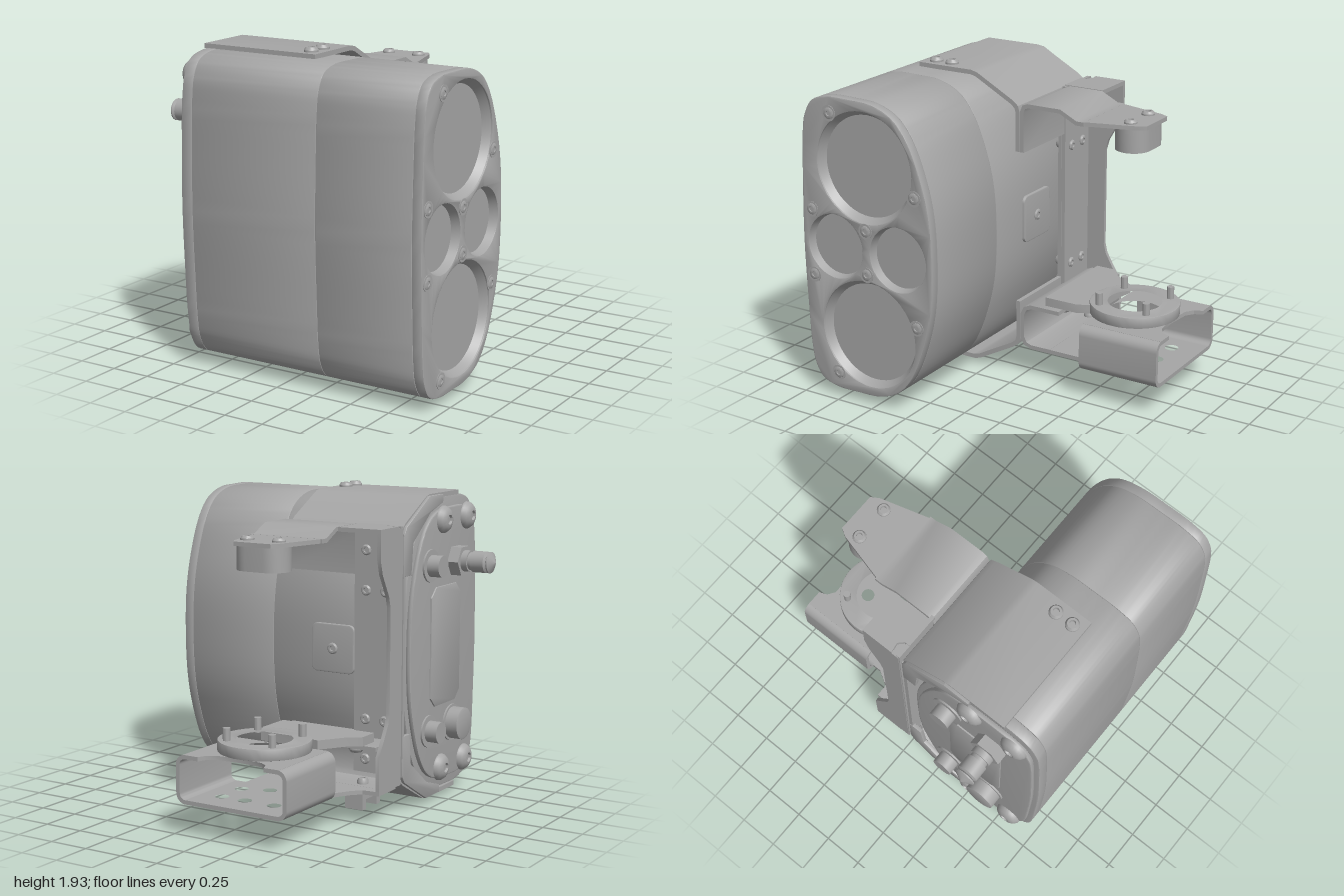
import * as THREE from 'three';
import { toCreasedNormals } from 'three/addons/utils/BufferGeometryUtils.js';

const MID = 0.97; // height of the housing's mirror plane

export function createModel() {
  const model = new THREE.Group();
  const metal = new THREE.MeshStandardMaterial({ color: 0xa6a6a6 });
  metal.name = 'greyMetal';

  const add = (name, geo) => {
    const mesh = new THREE.Mesh(toCreasedNormals(geo, 0.55), metal);
    mesh.name = name;
    model.add(mesh);
    return mesh;
  };
  // Plane coordinates per extrusion axis: x -> (z, y), y -> (x, z), z -> (x, y)
  const map = { x: (u, v) => [-u, v], y: (u, v) => [u, -v], z: (u, v) => [u, v] };
  const plate = (name, axis, pts, a, b, { holes = [], bevel = 0 } = {}) => {
    const shape = new THREE.Shape(pts.map(([u, v]) => new THREE.Vector2(...map[axis](u, v))));
    for (const [u, v, r] of holes) {
      shape.holes.push(new THREE.Path().absarc(...map[axis](u, v), r, 0, Math.PI * 2, true));
    }
    const geo = new THREE.ExtrudeGeometry(shape, {
      depth: b - a - 2 * bevel, bevelEnabled: bevel > 0, bevelThickness: bevel,
      bevelSize: bevel, bevelOffset: -bevel, bevelSegments: 2, curveSegments: 24,
    });
    geo.translate(0, 0, a + bevel);
    if (axis === 'x') geo.rotateY(Math.PI / 2);
    if (axis === 'y') geo.rotateX(-Math.PI / 2);
    return add(name, geo);
  };
  // Sheet metal outline: a path thickened to both sides
  const ribbon = (path, t) => {
    const sides = [[], []];
    path.forEach((p, i) => {
      const dir = (a, b) => new THREE.Vector2(b[0] - a[0], b[1] - a[1]).normalize();
      const d0 = dir(path[Math.max(i - 1, 0)], path[Math.max(i, 1)]);
      const d1 = i < path.length - 1 ? dir(p, path[i + 1]) : d0;
      const m = d0.clone().add(d1).normalize();
      const k = t / 2 / Math.max(m.dot(d0), 0.5);
      sides[0].push([p[0] - m.y * k, p[1] + m.x * k]);
      sides[1].unshift([p[0] + m.y * k, p[1] - m.x * k]);
    });
    return [...sides[0], ...sides[1]];
  };
  const arc = (cx, cy, r, from, to, n = 8) => Array.from({ length: n + 1 }, (_, i) => {
    const a = from + ((to - from) * i) / n;
    return [cx + r * Math.cos(a), cy + r * Math.sin(a)];
  });
  const turned = (name, pts, pos, dir, sides = 28) => {
    const geo = new THREE.LatheGeometry(pts.map((p) => new THREE.Vector2(...p)), sides);
    const mesh = add(name, geo);
    mesh.position.set(...pos);
    mesh.quaternion.setFromUnitVectors(new THREE.Vector3(0, 1, 0), new THREE.Vector3(...dir));
    return mesh;
  };
  const rod = (name, r, h, pos, dir) => turned(name, [[0, 0], [r, 0], [r, h], [0, h]], pos, dir);
  const screw = (name, r, h, pos, dir) => turned(name,
    [[r, 0], [r, h * 0.45], [r * 0.75, h], [r * 0.45, h], [r * 0.42, h * 0.3], [0, h * 0.3]], pos, dir, 20);
  const flip = (pts) => pts.map(([u, v]) => [u, 2 * MID - v]);

  // Housing: one rounded cross-section in four lengths with fine seams
  const half = [[0.09, 1.25], [0.14, 1.47], [0.23, 1.69], [0.33, 1.81], [0.47, 1.87], [0.62, 1.88],
    [0.8, 1.877], [0.9, 1.84], [0.955, 1.75], [0.975, 1.64], [0.99, 1.35]];
  const loop = [[0.075, MID], ...half, [1, MID], ...flip(half).reverse()];
  const outline = new THREE.CatmullRomCurve3(loop.map(([u, v]) => new THREE.Vector3(u, v, 0)), true)
    .getPoints(112).slice(0, -1).map((p) => [p.x, p.y]);
  const scaled = (s) => outline.map(([u, v]) => [0.54 + (u - 0.54) * s, MID + (v - MID) * s]);
  [[-0.65, -0.58], [-0.58, 0.27], [0.27, 0.888]].forEach(([a, b], i) =>
    plate('housingSection' + (i + 1), 'x', outline, a, b, { bevel: 0.006 }));

  // Face with four lens wells
  const lenses = [[0.54, 1.485, 0.335], [0.54, 0.455, 0.335], [0.765, MID, 0.198], [0.315, MID, 0.198]];
  plate('lensFace', 'x', outline, 0.888, 0.95, { holes: lenses, bevel: 0.007 });
  for (const [z, y, r] of lenses) {
    const inner = r > 0.3 ? 0.305 : 0.187;
    turned('lensWell', [[r, 0.052], [inner, 0.008], [0, 0.008]], [0.888, y, z], [1, 0, 0], 48);
  }
  for (const [z, y] of [[0.775, 1.78], [0.19, 1.365], [0.93, 1.175], [0.54, 1.105]]) {
    for (const [, yy] of [[z, y], ...flip([[z, y]])]) {
      turned('faceScrewCollar', [[0.048, 0], [0.048, 0.004], [0.036, 0.004]], [0.949, yy, z], [1, 0, 0]);
      screw('faceScrew', 0.034, 0.008, [0.949, yy, z], [1, 0, 0]);
    }
  }

  // Connector end: cover, raised panel, domes and plugs
  plate('endCover', 'x', scaled(0.93), -0.68, -0.65, { bevel: 0.008 });
  plate('endPanel', 'x', [[0.36, 0.66], [0.36, 1.28], [0.42, 1.34], [0.68, 1.34], [0.74, 1.28],
    [0.74, 0.66], [0.68, 0.6], [0.42, 0.6]], -0.69, -0.67, { bevel: 0.006 });
  const OUT = [-1, 0, 0];
  for (const y of [0.2, 1.745]) {
    for (const z of [0.51, 0.82]) {
      turned('endDome', [[0.085, 0], [0.083, 0.015], [0.068, 0.035], [0.045, 0.048], [0.03, 0.05],
        [0.026, 0.035], [0, 0.035]], [-0.676, y, z], OUT);
    }
  }
  for (const y of [0.46, 1.48]) {
    turned('portCollar', [[0.1, 0], [0.1, 0.012], [0.065, 0.012]], [-0.679, y, 0.35], OUT);
    rod('smallPort', 0.066, 0.09, [-0.679, y, 0.35], OUT);
  }
  turned('largePort', [[0.115, 0], [0.115, 0.015], [0.1, 0.015], [0.1, 0.095], [0.085, 0.1], [0, 0.1]],
    [-0.676, 0.46, 0.65], OUT);
  turned('plugNut', [[0.1, 0], [0.1, 0.075], [0, 0.075]], [-0.676, 1.48, 0.67], OUT, 6);
  turned('plug', [[0.066, 0], [0.066, 0.05], [0.055, 0.05], [0.055, 0.075], [0.066, 0.075], [0.066, 0.17],
    [0.05, 0.18], [0.066, 0.19], [0.066, 0.198], [0, 0.235]].map(([r, h]) => [r, h * 0.92]),
  [-0.745, 1.48, 0.67], OUT);

  // Straps over and under the housing, with end flanges and screws
  const strap = ribbon([[0.735, 1.895], [0.36, 1.895], [0.32, 1.885], [0.07, 1.75], [0.04, 1.725],
    [0.03, 1.69], [0.03, 1.45]], 0.028);
  const flange = [[0.5, 1.9], [0.33, 1.9], [0.05, 1.74], [0.02, 1.69], [0.02, 1.45], [0.11, 1.45],
    [0.13, 1.64], [0.34, 1.8], [0.5, 1.85]];
  for (const [side, f, s] of [['top', (p) => p, 1], ['bottom', flip, -1]]) {
    plate(side + 'Strap', 'x', f(strap), -0.665, 0.105);
    plate(side + 'StrapFlange', 'x', f(flange), -0.684, -0.655, { bevel: 0.005 });
    for (const z of [0.545, 0.66]) {
      screw(side + 'StrapScrew', 0.042, 0.03, [0.03, MID + s * 0.936, z], [0, s, 0]);
    }
  }
  plate('strapBackPlate', 'z', [[-0.68, 0.24], [-0.39, 0.24], [-0.39, 1.7], [-0.68, 1.7]], 0.02, 0.044);

  // Pad on the back of the housing
  plate('backPad', 'z', [...arc(-0.06, 1.08, 0.04, 0, Math.PI / 2), ...arc(-0.28, 1.08, 0.04, Math.PI / 2, Math.PI),
    ...arc(-0.28, 0.86, 0.04, Math.PI, Math.PI * 1.5), ...arc(-0.06, 0.86, 0.04, Math.PI * 1.5, Math.PI * 2)],
  0.06, 0.11, { bevel: 0.005 });
  screw('backPadScrew', 0.035, 0.012, [-0.17, MID, 0.062], [0, 0, -1]);

  // Upright spine with a waisted side flange
  plate('spineBack', 'z', [[-0.68, 0.2], [-0.37, 0.2], [-0.37, 1.75], [-0.68, 1.75]], -0.018, 0.006);
  plate('spineFlange', 'x', [[0, 0.2], [-0.26, 0.2], [-0.26, 0.42], [-0.2, 0.52], [-0.155, 0.6], [-0.14, 0.66],
    [-0.14, 1.29], [-0.16, 1.36], [-0.235, 1.49], [-0.26, 1.58], [-0.26, 1.74], [0, 1.74]], -0.684, -0.66);
  plate('spineTop', 'y', [[-0.684, -0.05], [-0.684, -0.26], [-0.4, -0.26], [-0.4, 0.006], [-0.59, 0.006],
    [-0.59, -0.03], [-0.62, -0.06]], 1.728, 1.754);
  for (const y of [1.6, 1.36, 0.58, 0.335]) {
    for (const x of [-0.58, -0.45]) {
      screw('spineScrew', 0.038, 0.035, [x, y, 0.044], [0, 0, 1]);
      screw('spineNut', 0.032, 0.014, [x, y, -0.017], [0, 0, -1]);
    }
  }

  // Upper arm: stepped sheet, tapered tongue and end block
  plate('upperArm', 'x', ribbon([[0, 1.45], [0, 1.7], [-0.012, 1.73], [-0.04, 1.741], [-0.26, 1.741],
    [-0.37, 1.686], [-0.42, 1.686]], 0.025), -0.39, 0.105);
  plate('upperArmTongue', 'y', [[-0.39, -0.38], [-0.3, -0.72], [-0.27, -0.775], [-0.21, -0.805], [-0.145, -0.812],
    [-0.08, -0.805], [-0.02, -0.775], [0.01, -0.72], [0.105, -0.38]].map(([x, z]) => [x, Math.max(z, -0.77)]),
  1.673, 1.698);
  plate('upperBlock', 'y', [...arc(-0.085, -0.648, 0.107, -Math.PI / 2, Math.PI / 2, 14),
    ...arc(-0.205, -0.648, 0.107, Math.PI / 2, Math.PI * 1.5, 14)], 1.53, 1.674,
  { holes: [[-0.25, -0.655, 0.035], [-0.035, -0.655, 0.035]] });
  for (const x of [-0.25, -0.035]) screw('upperArmScrew', 0.04, 0.025, [x, 1.696, -0.655], [0, 1, 0]);

  // Lower bracket: folded sheet, floor and open-ended channel
  plate('lowerFold', 'x', ribbon([[-0.26, 0.467], [-0.06, 0.467], [-0.02, 0.45], [0, 0.41], [0, 0.26],
    [-0.02, 0.218], [-0.06, 0.203], [-0.2, 0.203]], 0.025), -0.66, 0.105);
  const floorHoles = [[-0.32, -0.62], [-0.32, -0.82], [-0.12, -0.56], [0.04, -0.62], [0.04, -0.82], [-0.12, -0.82]];
  plate('lowerFloor', 'y', [[-0.684, -0.06], [-0.684, -0.26], [-0.58, -0.27], [-0.53, -0.32], [-0.47, -0.42],
    [-0.47, -1], [0.185, -1], [0.185, -0.48], [0.105, -0.48], [0.105, -0.06]], 0.19, 0.215,
  { holes: floorHoles.map(([x, z]) => [x, z, 0.042]) });
  plate('channelTop', 'y', [[-0.47, -0.48], [-0.47, -1], [-0.37, -1], [-0.35, -0.95], [-0.3, -0.915],
    [-0.145, -0.9], [0.01, -0.915], [0.06, -0.95], [0.08, -1], [0.185, -1], [0.185, -0.48]], 0.457, 0.482,
  { holes: [[-0.145, -0.65, 0.17]] });
  const wall = ribbon([...arc(0.173, 0.2525, 0.05, -Math.PI / 2, 0), ...arc(0.173, 0.4195, 0.05, 0, Math.PI / 2)], 0.025);
  plate('channelWallLeft', 'z', wall, -1, -0.48);
  plate('channelWallRight', 'z', wall.map(([x, y]) => [-0.285 - x, y]), -1, -0.48);

  // Pivot ring, its arm and pins
  plate('pivotRing', 'y', arc(-0.145, -0.65, 0.275, 0, Math.PI * 2, 48).slice(0, -1), 0.482, 0.55,
    { holes: [[-0.145, -0.65, 0.17]], bevel: 0.004 });
  plate('pivotArm', 'y', [[-0.58, -0.14], [-0.58, -0.27], [-0.5, -0.33], [-0.4, -0.48], [-0.3, -0.46],
    [0.01, -0.46], [0.06, -0.36], [0.06, -0.14]], 0.48, 0.535);
  for (const x of [-0.302, 0.012]) {
    for (const z of [-0.49, -0.81]) rod('pivotPin', 0.022, 0.09, [x, 0.535, z], [0, 1, 0]);
  }
  for (const x of [-0.5, -0.3, -0.05]) screw('pivotArmScrew', 0.045, 0.03, [x, 0.456, -0.21], [0, -1, 0]);

  // Small clip under the lower bracket
  plate('underClip', 'x', [[-0.03, 0.08], [-0.03, 0.19], [-0.235, 0.19], [-0.235, 0.08], [-0.195, 0.08],
    [-0.195, 0.14], [-0.07, 0.14], [-0.07, 0.08]], -0.56, -0.44);
  screw('underClipScrew', 0.035, 0.035, [-0.5, 0.214, -0.13], [0, 1, 0]);

  return model;
}
